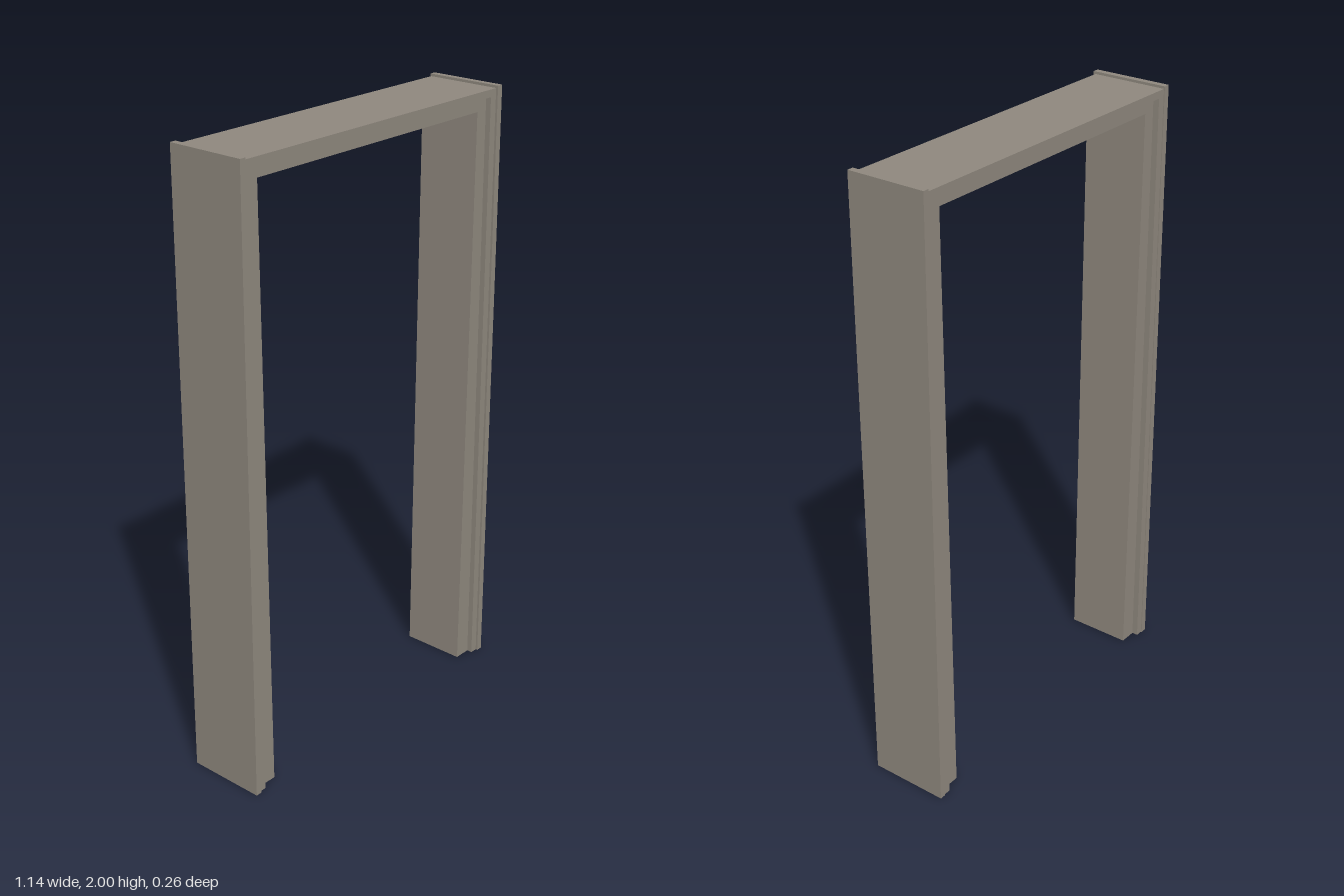
import * as THREE from 'three';

// Arch-shaped (upside-down U) slab with straight outer sides and legs that may taper inside
function archGeometry({ outer, innerTop, innerBottom, top, under, zBack, zFront }) {
  const shape = new THREE.Shape([
    [outer, 0], [outer, top], [-outer, top], [-outer, 0],
    [-innerBottom, 0], [-innerTop, under], [innerTop, under], [innerBottom, 0],
  ].map(([x, y]) => new THREE.Vector2(x, y)));
  const geometry = new THREE.ExtrudeGeometry(shape, { depth: zFront - zBack, bevelEnabled: false });
  return geometry.translate(0, 0, zBack);
}

export function createModel() {
  const group = new THREE.Group();
  group.name = 'doorFrame';
  const frameColour = new THREE.MeshStandardMaterial({ color: 0x8f887e });
  frameColour.name = 'warm grey';

  const add = (name, geometry) => {
    const mesh = new THREE.Mesh(geometry, frameColour);
    mesh.name = name;
    group.add(mesh);
    return mesh;
  };

  // Outer band of the frame, standing proud front and back
  add('outerCasing', archGeometry({
    outer: 0.55, innerTop: 0.525, innerBottom: 0.525,
    top: 1.992, under: 1.968, zBack: -0.128, zFront: 0.124,
  }));

  // Recessed inner lining whose legs widen towards the floor
  add('innerLining', archGeometry({
    outer: 0.525, innerTop: 0.483, innerBottom: 0.466,
    top: 1.968, under: 1.927, zBack: -0.108, zFront: 0.106,
  }));

  // Thin end boards covering both sides
  for (const [name, side] of [['leftEndBoard', 1], ['rightEndBoard', -1]]) {
    add(name, new THREE.BoxGeometry(0.021, 2, 0.262)).position.set(side * 0.5605, 1, 0);
  }
  return group;
}
